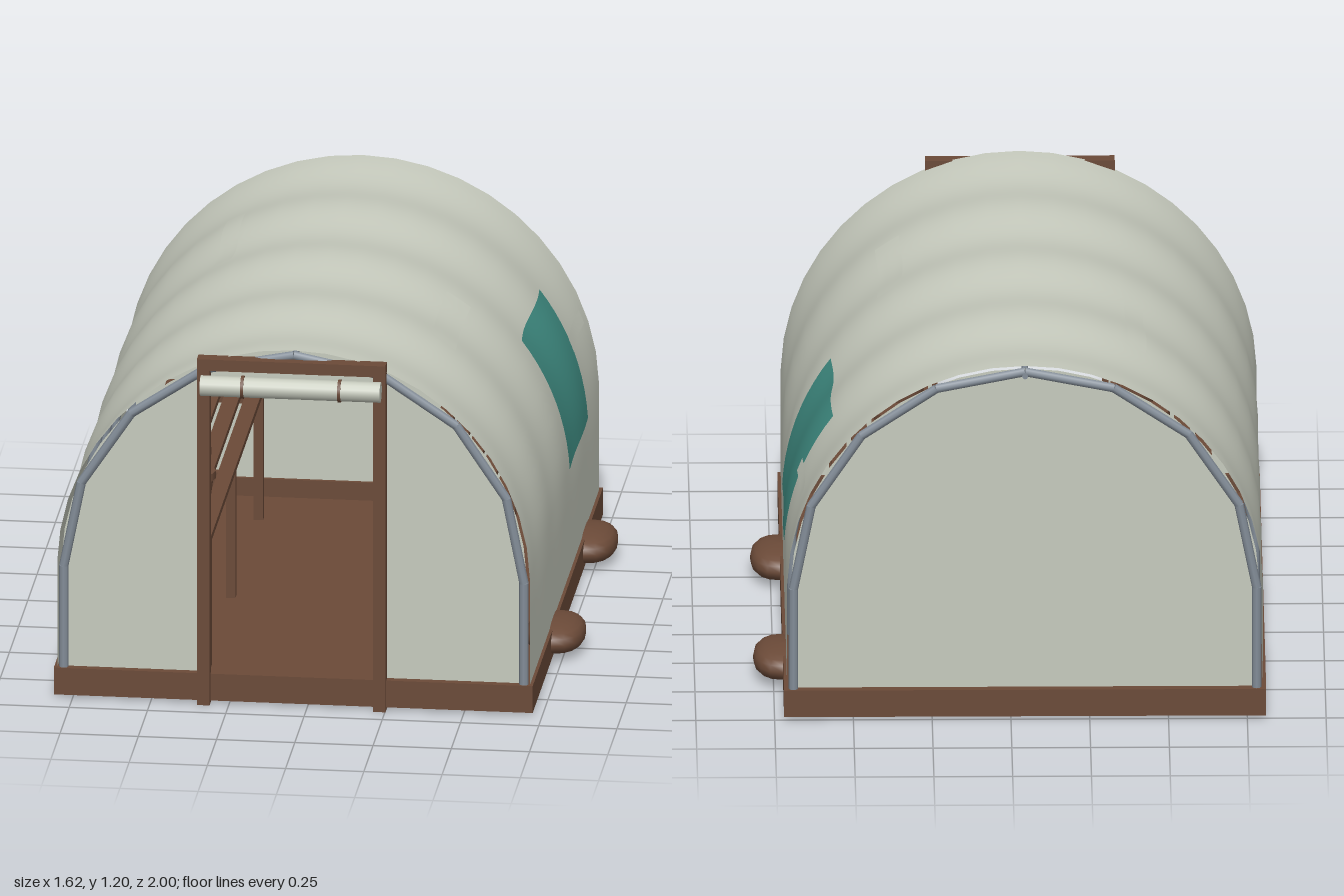
import * as THREE from 'three';

const CX = -0.045, SPRING = 0.44, R = 0.755, FRONT = 0.9, BACK = -0.98, BAY = 0.47;

const mat = (name, color, side = THREE.FrontSide) => {
  const m = new THREE.MeshStandardMaterial({ color, side });
  m.name = name;
  return m;
};

export function createModel() {
  const sheet = mat('plastic sheet', 0xc6cabd, THREE.DoubleSide);
  const wood = mat('brown wood', 0x6b4a38);
  const metal = mat('grey metal', 0x838d98);
  const teal = mat('teal patch', 0x3f8c82, THREE.DoubleSide);

  const model = new THREE.Group();
  model.name = 'polytunnel';

  const add = (name, geo, material, x = 0, y = 0, z = 0, parent = model) => {
    const m = new THREE.Mesh(geo, material);
    m.name = name;
    m.position.set(x, y, z);
    parent.add(m);
    return m;
  };
  // Box given by its extents
  const box = (name, x0, x1, y0, y1, z0, z1, material = wood, parent = model) =>
    add(name, new THREE.BoxGeometry(x1 - x0, y1 - y0, z1 - z0), material,
      (x0 + x1) / 2, (y0 + y1) / 2, (z0 + z1) / 2, parent);

  // Arch outline: angle s from right (0) to left (PI), straight walls outside that range
  const arch = (s, r) => {
    const a = Math.min(Math.max(s, 0), Math.PI);
    const drop = Math.max(-s, s - Math.PI, 0) * 0.9;
    return new THREE.Vector2(CX + r * Math.cos(a), SPRING + r * Math.sin(a) - drop);
  };
  // Part of the skin, sagging between the hoops
  const skin = (s0, s1, z0, z1, ns, nz, lift = 0) => {
    const g = new THREE.PlaneGeometry(1, 1, ns, nz);
    const p = g.attributes.position;
    for (let i = 0; i < p.count; i++) {
      const s = s0 + (s1 - s0) * (p.getX(i) + 0.5);
      const z = z0 + (z1 - z0) * (p.getY(i) + 0.5);
      const up = Math.max(Math.sin(Math.min(Math.max(s, 0), Math.PI)), 0);
      const sag = 0.02 * Math.sqrt(up) * Math.sin(Math.PI * (z - FRONT) / BAY) ** 2;
      const v = arch(s, R - sag + lift);
      p.setXYZ(i, v.x, v.y, z);
    }
    g.computeVertexNormals();
    return g;
  };

  // Cover and repairs
  add('cover', skin(-0.4, Math.PI + 0.4, BACK, FRONT, 28, 44), sheet);
  add('tealPatch', skin(0.033, 0.64, -0.63, -0.13, 10, 12, 0.008), teal);
  add('rightRepairStrip', skin(0.92, 1.04, 0, 0.42, 3, 10, 0.006), sheet);
  add('leftRepairStrip', skin(2.02, 2.11, -0.6, -0.17, 3, 10, 0.006), sheet);
  add('tornFlap', skin(0.34, 0.4, -0.88, -0.6, 2, 7, 0.012), sheet);

  // End walls, the front one with a doorway
  const wallShape = () => {
    const pts = [];
    for (let i = 0; i <= 28; i++) pts.push(arch(-0.4 + (Math.PI + 0.8) * i / 28, R - 0.012));
    return new THREE.Shape(pts);
  };
  const frontShape = wallShape();
  frontShape.holes.push(new THREE.Path([
    [-0.33, 0.09], [-0.33, 1.1], [0.23, 1.1], [0.23, 0.09],
  ].map(([x, y]) => new THREE.Vector2(x, y))));
  add('frontWall', new THREE.ShapeGeometry(frontShape), sheet, 0, 0, 0.885);
  add('backWall', new THREE.ShapeGeometry(wallShape()), sheet, 0, 0, -0.972);

  // Bar between two points
  const bar = (name, a, b, r, parent, material = metal) => {
    const m = add(name, new THREE.CylinderGeometry(r, r, a.distanceTo(b), 8), material, 0, 0, 0, parent);
    m.position.copy(a).add(b).multiplyScalar(0.5);
    m.quaternion.setFromUnitVectors(new THREE.Vector3(0, 1, 0), b.clone().sub(a).normalize());
  };

  // Bent metal hoops and ridge pole
  for (let h = 0; h < 5; h++) {
    const hoop = new THREE.Group();
    hoop.name = 'hoop';
    model.add(hoop);
    const z = h === 0 ? 0.892 : h === 4 ? -0.98 : FRONT - BAY * h;
    const pts = [];
    for (let i = -1; i <= 9; i++) {
      const v = i < 0 || i > 8 ? arch(i < 0 ? -0.4 : Math.PI + 0.4, 0.735) : arch(Math.PI * i / 8, 0.735);
      pts.push(new THREE.Vector3(v.x, v.y, z));
    }
    for (let i = 1; i < pts.length; i++) bar('hoopSegment', pts[i - 1], pts[i], 0.015, hoop);
  }
  bar('ridgePole', new THREE.Vector3(CX, 1.165, -0.995), new THREE.Vector3(CX, 1.165, 0.9), 0.01, model);

  // Timber base and floor
  box('rightBaseBoard', 0.68, 0.72, 0.01, 0.1, -1, 0.91);
  box('leftBaseBoard', -0.81, -0.77, 0.01, 0.1, -1, 0.91);
  box('frontBaseBoard', -0.77, 0.68, 0.01, 0.1, 0.87, 0.91);
  box('backBaseBoard', -0.77, 0.68, 0.01, 0.1, -1, -0.96);
  box('floor', -0.77, 0.68, 0.018, 0.04, -0.96, 0.87);

  // Door frame
  box('leftDoorPost', 0.212, 0.252, 0, 1.13, 0.893, 0.93);
  box('rightDoorPost', -0.35, -0.31, 0, 1.13, 0.893, 0.93);
  box('lintel', -0.35, 0.252, 1.127, 1.165, 0.89, 0.935);

  // Rolled-up door sheet with straps
  add('doorRoll', new THREE.CylinderGeometry(0.033, 0.033, 0.575, 14).rotateZ(Math.PI / 2), sheet, -0.047, 1.087, 0.963);
  for (const x of [-0.2, 0.11])
    add('rollStrap', new THREE.CylinderGeometry(0.037, 0.037, 0.01, 14).rotateZ(Math.PI / 2), wood, x, 1.087, 0.963);

  // Weight bags along the right side
  for (const z of [0.27, -0.6]) {
    const g = new THREE.SphereGeometry(1, 16, 10);
    const p = g.attributes.position;
    const puff = (v, k) => Math.sign(v) * Math.abs(v) ** k;
    for (let i = 0; i < p.count; i++)
      p.setXYZ(i, 0.095 * puff(p.getX(i), 0.85), 0.05 * puff(p.getY(i), 0.8), 0.142 * puff(p.getZ(i), 0.9));
    g.computeVertexNormals();
    add('weightBag', g, wood, 0.72, 0.06, z);
  }

  // Slatted benches with pots on both sides of the aisle
  for (const side of [-1, 1]) {
    const bench = new THREE.Group();
    bench.name = side < 0 ? 'rightBench' : 'leftBench';
    bench.position.x = CX;
    model.add(bench);
    const bx = (name, a, b, ...rest) =>
      box(name, Math.min(side * a, side * b), Math.max(side * a, side * b), ...rest, wood, bench);
    for (let i = 0; i < 5; i++) bx('slat', 0.29 + i * 0.066, 0.34 + i * 0.066, 0.46, 0.48, -0.8, 0.72);
    for (const z of [0.67, 0, -0.75]) {
      bx('crossRail', 0.29, 0.604, 0.43, 0.46, z - 0.015, z + 0.015);
      for (const x of [0.29, 0.574]) bx('benchLeg', x, x + 0.03, 0.04, 0.43, z - 0.015, z + 0.015);
    }
    for (const [x, z] of [[0.37, 0.395], [0.41, 0.17], [0.5, 0.56]]) {
      add('pot', new THREE.CylinderGeometry(0.055, 0.042, 0.1, 12), wood, side * x, 0.53, z, bench);
      add('potRim', new THREE.CylinderGeometry(0.062, 0.062, 0.025, 12), wood, side * x, 0.588, z, bench);
    }
  }
  return model;
}
